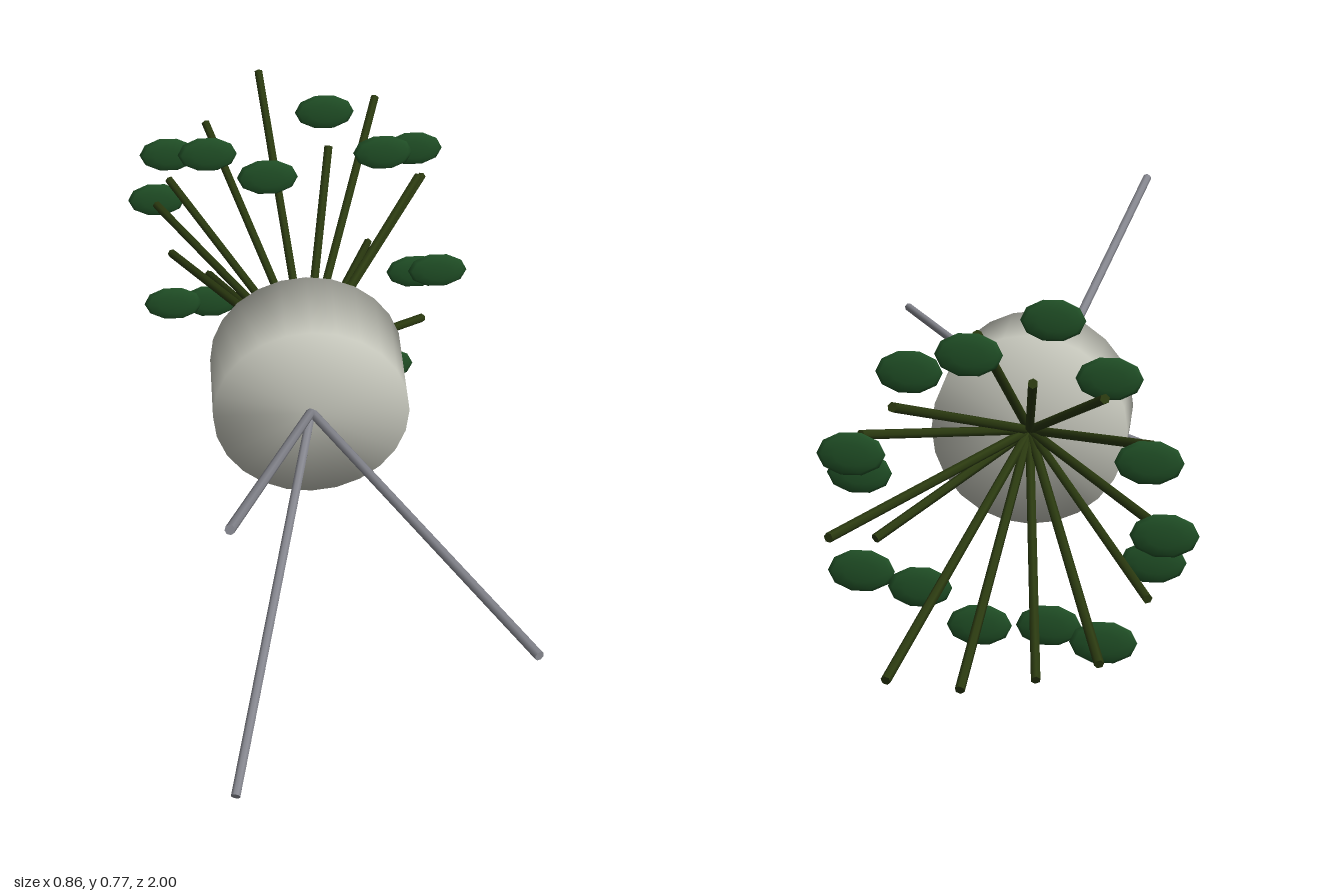
import * as THREE from 'three';

const mat = (name, color) => Object.assign(new THREE.MeshStandardMaterial({ color }), { name });

// Thin rod between two points
function rod(name, a, b, radius, sides, material) {
  const dir = new THREE.Vector3().subVectors(b, a);
  const mesh = new THREE.Mesh(new THREE.CylinderGeometry(radius, radius, dir.length(), sides), material);
  mesh.position.addVectors(a, b).multiplyScalar(0.5);
  mesh.quaternion.setFromUnitVectors(new THREE.Vector3(0, 1, 0), dir.normalize());
  mesh.name = name;
  return mesh;
}

export function createModel() {
  const group = new THREE.Group();
  const shell = mat('paleGrey', 0xc6c7bc);
  const metal = mat('steelGrey', 0x85868e);
  const bark = mat('darkOlive', 0x2b3a10);
  const foliage = mat('leafGreen', 0x215127);
  const cx = -0.007, cy = 0.388;

  // Drum body with normals blended softly over the rims
  const profile = [[0, -0.1], [0.229, -0.1], [0.229, 0.126], [0, 0.126]]
    .map(([r, y]) => new THREE.Vector2(r, y));
  const body = new THREE.Mesh(new THREE.LatheGeometry(profile, 24), shell);
  body.rotation.x = Math.PI / 2;
  body.position.set(cx, cy, 0);
  body.name = 'body';
  group.add(body);

  // Three splayed legs in front
  const hub = new THREE.Vector3(cx, cy, 0.12);
  for (let i = 0; i < 3; i++) {
    const t = i * Math.PI * 2 / 3;
    const foot = new THREE.Vector3(cx + 0.427 * Math.cos(t), cy + 0.427 * Math.sin(t), 0.997);
    group.add(rod('leg', hub, foot, 0.011, 8, metal));
  }

  // Stems fan out behind; leaves float on the same ring at varied depths
  const stemEnds = [0.89, 0.65, 0.84, 0.5, 0.87, 0.74, 0.67, 0.79, 0.79, 0.865, 0.8, 0.87, 0.995, 0.46];
  const leafDepths = [0.45, 0.785, 0.575, 0.665, 0.37, 0.59, 0.79, 0.815, 0.56, 0.74, 0.475, 0.485, 0.435, 0.67];
  const root = new THREE.Vector3(cx, cy, -0.095);
  const leafGeo = new THREE.SphereGeometry(1, 10, 6).rotateX(Math.PI / 2).scale(0.073, 0.049, 0.012);
  stemEnds.forEach((end, i) => {
    const t = i * Math.PI * 2 / 14;
    const x = cx + 0.347 * Math.cos(t), y = cy + 0.347 * Math.sin(t);
    group.add(rod('stem', root, new THREE.Vector3(x, y, -end), 0.011, 6, bark));
    const leaf = new THREE.Mesh(leafGeo, foliage);
    leaf.position.set(x, y, -leafDepths[i]);
    leaf.name = 'leaf';
    group.add(leaf);
  });
  return group;
}
